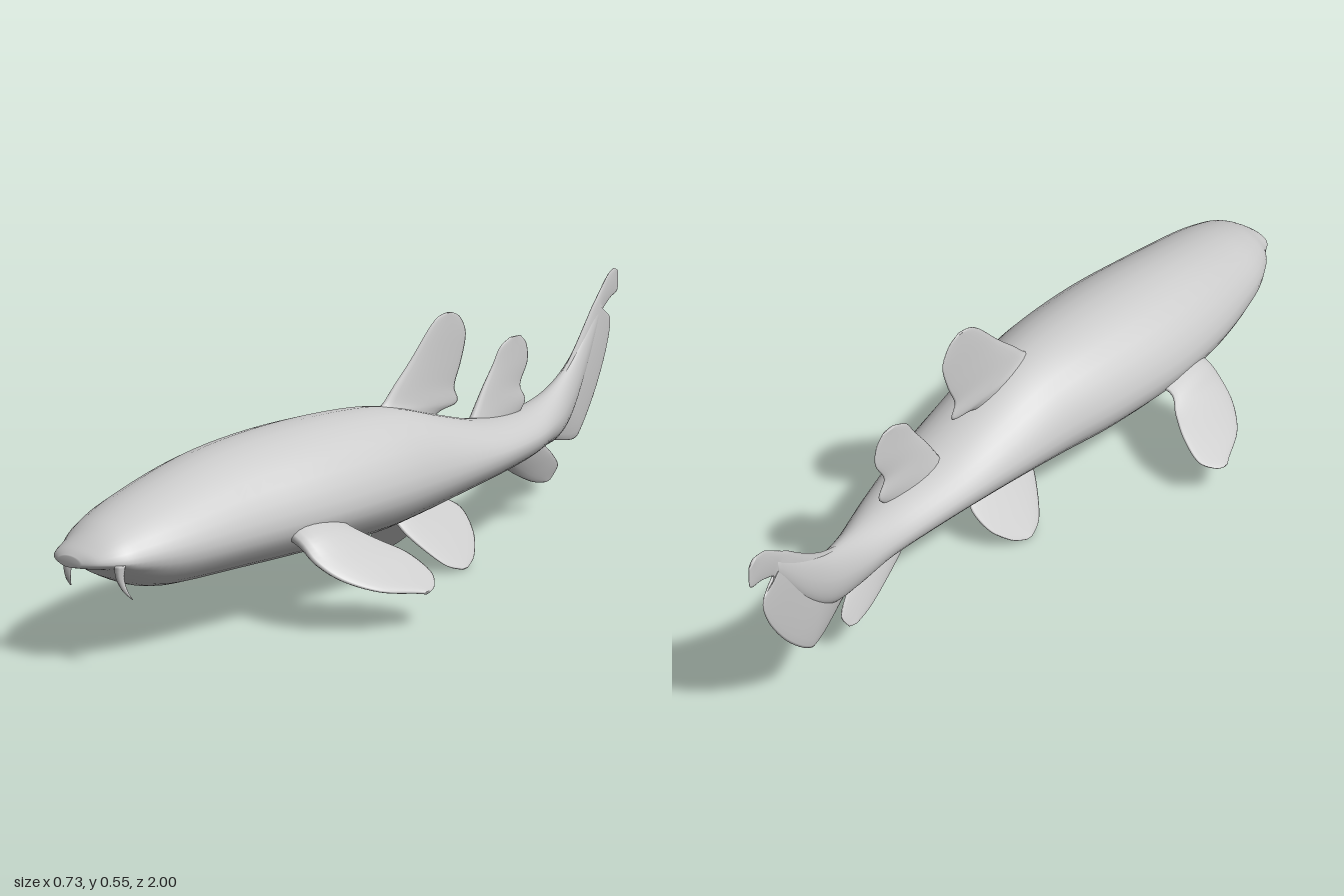
import * as THREE from 'three';

const material = new THREE.MeshStandardMaterial({ color: 0xcccccc, roughness: 0.8 });

// Smoothly resamples rows of numbers (Catmull-Rom on every column)
function resample(rows, steps) {
  const out = [], last = rows.length - 1;
  const at = (i) => rows[Math.min(Math.max(i, 0), last)];
  for (let s = 0; s <= last * steps; s++) {
    const i = Math.min(Math.floor(s / steps), last - 1), t = s / steps - i;
    out.push(at(i).map((_, k) => {
      const [a, b, c, d] = [at(i - 1)[k], at(i)[k], at(i + 1)[k], at(i + 2)[k]];
      return b + 0.5 * t * (c - a + t * (2 * a - 5 * b + 4 * c - d + t * (3 * (b - c) + d - a)));
    }));
  }
  return out;
}

// Skins closed rings of points, capping both ends; winding is made to face outward
function loft(name, rings) {
  const n = rings[0].length, pos = [], idx = [];
  rings.forEach((r) => r.forEach((p) => pos.push(p.x, p.y, p.z)));
  for (let i = 0; i < rings.length - 1; i++) {
    for (let j = 0; j < n; j++) {
      const a = i * n + j, b = i * n + (j + 1) % n;
      idx.push(a, b, b + n, a, b + n, a + n);
    }
  }
  [0, rings.length - 1].forEach((r) => {
    const c = rings[r].reduce((s, p) => s.add(p), new THREE.Vector3()).divideScalar(n);
    const ci = pos.length / 3;
    pos.push(c.x, c.y, c.z);
    for (let j = 0; j < n; j++) {
      const a = r * n + j, b = r * n + (j + 1) % n;
      if (r) idx.push(ci, a, b); else idx.push(ci, b, a);
    }
  });
  const v = (i) => new THREE.Vector3().fromArray(pos, idx[i] * 3);
  let volume = 0;
  for (let i = 0; i < idx.length; i += 3) volume += v(i).dot(v(i + 1).cross(v(i + 2)));
  if (volume < 0) idx.reverse();
  const geo = new THREE.BufferGeometry();
  geo.setAttribute('position', new THREE.Float32BufferAttribute(pos, 3));
  geo.setIndex(idx);
  geo.computeVertexNormals();
  const mesh = new THREE.Mesh(geo, material);
  mesh.name = name;
  return mesh;
}

// Fin from chords [lead x,y,z, trail x,y,z]; each cross-section is a thin lens
function fin(name, chords, rootThick, tipThick) {
  const rows = resample(chords, 5), half = 10;
  const rings = rows.map((r, i) => {
    const lead = new THREE.Vector3(...r.slice(0, 3)), trail = new THREE.Vector3(...r.slice(3));
    const mid = (q) => new THREE.Vector3((q[0] + q[3]) / 2, (q[1] + q[4]) / 2, (q[2] + q[5]) / 2);
    const span = mid(rows[Math.min(i + 1, rows.length - 1)]).sub(mid(rows[Math.max(i - 1, 0)]));
    const side = span.cross(trail.clone().sub(lead)).normalize();
    const f = i / (rows.length - 1);
    const thick = tipThick + (rootThick - tipThick) * (1 - f) ** 2;
    return Array.from({ length: half * 2 }, (_, j) => {
      const a = (j / half) * Math.PI, u = (1 - Math.cos(a)) / 2;
      return lead.clone().lerp(trail, u).addScaledVector(side, Math.sin(a) * (1 - 0.5 * u) * thick);
    });
  });
  return loft(name, rings);
}

// Turns side outline chords [lead z,y, trail z,y] into 3D using x = bend(z, y)
const upright = (chords, bend) =>
  chords.map(([z1, y1, z2, y2]) => [bend(z1, y1), y1, z1, bend(z2, y2), y2, z2]);

const mirrored = (chords, cx, dz) =>
  chords.map(([a, b, c, d, e, f]) => [2 * cx - a, b, c + dz, 2 * cx - d, e, f + dz]);

export function createModel() {
  const model = new THREE.Group();
  model.name = 'fish';

  // Body stations: z, centre x, half width, top y, widest y, bottom y
  const stations = [
    [1.0, 0.005, 0.03, 0.222, 0.21, 0.2],
    [0.985, 0.01, 0.062, 0.237, 0.212, 0.197],
    [0.95, 0.018, 0.088, 0.26, 0.212, 0.19],
    [0.9, 0.01, 0.112, 0.282, 0.212, 0.158],
    [0.8, 0.0, 0.14, 0.312, 0.212, 0.124],
    [0.6, -0.012, 0.167, 0.355, 0.215, 0.114],
    [0.4, -0.007, 0.182, 0.376, 0.22, 0.112],
    [0.2, 0.004, 0.172, 0.38, 0.225, 0.11],
    [0.05, 0.01, 0.15, 0.367, 0.225, 0.122],
    [-0.1, 0.012, 0.131, 0.327, 0.225, 0.14],
    [-0.25, 0.01, 0.11, 0.292, 0.225, 0.156],
    [-0.4, 0.0, 0.082, 0.28, 0.225, 0.168],
    [-0.5, -0.014, 0.062, 0.286, 0.23, 0.178],
    [-0.6, -0.035, 0.043, 0.305, 0.24, 0.18],
    [-0.7, -0.062, 0.027, 0.34, 0.275, 0.21],
    [-0.8, -0.088, 0.015, 0.4, 0.35, 0.3],
    [-0.9, -0.11, 0.005, 0.475, 0.455, 0.435],
  ];
  const sides = 32;
  model.add(loft('body', resample(stations, 5).map(([z, cx, hw, top, mid, bottom]) =>
    Array.from({ length: sides }, (_, j) => {
      const a = (j / sides) * Math.PI * 2, s = Math.sin(a);
      const y = s > 0 ? mid + (top - mid) * s ** 1.12 : mid + (bottom - mid) * -s;
      return new THREE.Vector3(cx + hw * Math.cos(a), y, z);
    }))));

  // Dorsal fins
  model.add(fin('firstDorsalFin', upright([
    [0.13, 0.32, -0.04, 0.28], [0.09, 0.36, -0.12, 0.325], [0.065, 0.378, -0.19, 0.34],
    [0.03, 0.41, -0.18, 0.378], [-0.025, 0.457, -0.203, 0.43], [-0.085, 0.515, -0.22, 0.49],
    [-0.12, 0.54, -0.2, 0.53], [-0.15, 0.546, -0.17, 0.545],
  ], () => 0.01), 0.03, 0.004));
  model.add(fin('secondDorsalFin', upright([
    [-0.23, 0.25, -0.38, 0.24], [-0.265, 0.305, -0.458, 0.295], [-0.3, 0.355, -0.44, 0.34],
    [-0.335, 0.4, -0.467, 0.39], [-0.362, 0.437, -0.463, 0.432], [-0.4, 0.455, -0.44, 0.455],
  ], () => -0.004), 0.026, 0.004));

  // Tail fin, following the sideways sweep of the body
  const sweep = (z) => (z > -0.8 ? -0.088 + (z + 0.8) * 0.27 : -0.088 + (z + 0.8) * 0.21);
  model.add(fin('tailFin', upright([
    [-0.55, 0.27, -0.5, 0.2], [-0.62, 0.305, -0.62, 0.175], [-0.68, 0.335, -0.745, 0.152],
    [-0.72, 0.357, -0.8, 0.173], [-0.77, 0.392, -0.88, 0.255], [-0.82, 0.432, -0.942, 0.35],
    [-0.85, 0.458, -0.957, 0.415], [-0.88, 0.48, -0.91, 0.437], [-0.915, 0.507, -0.955, 0.464],
    [-0.945, 0.527, -1.0, 0.48], [-0.975, 0.535, -1.0, 0.525],
  ], sweep), 0.025, 0.004));

  // Anal fin, leaning slightly to the right
  model.add(fin('analFin', upright([
    [-0.32, 0.2, -0.5, 0.21], [-0.4, 0.15, -0.55, 0.175], [-0.47, 0.115, -0.597, 0.143],
    [-0.54, 0.087, -0.628, 0.112], [-0.59, 0.077, -0.615, 0.082],
  ], (z, y) => -0.045 + (y - 0.075) * 0.35), 0.024, 0.004));

  // Pelvic fins
  const pelvic = upright([
    [0.085, 0.18, -0.09, 0.18], [0.06, 0.13, -0.12, 0.142], [0.048, 0.09, -0.168, 0.108],
    [0.015, 0.046, -0.16, 0.058], [-0.02, 0.014, -0.12, 0.019], [-0.06, 0.001, -0.08, 0.002],
  ], (z, y) => 0.132 - y * 0.85);
  model.add(fin('leftPelvicFin', pelvic, 0.02, 0.004));
  model.add(fin('rightPelvicFin', mirrored(pelvic, 0.011, 0), 0.02, 0.004));

  // Pectoral fins
  const pectoral = [
    [0.1, 0.205, 0.52, 0.1, 0.205, 0.36], [0.175, 0.182, 0.53, 0.185, 0.185, 0.37],
    [0.22, 0.148, 0.53, 0.225, 0.16, 0.335], [0.27, 0.116, 0.507, 0.27, 0.135, 0.3],
    [0.32, 0.09, 0.45, 0.32, 0.1, 0.285], [0.35, 0.076, 0.37, 0.35, 0.08, 0.31],
    [0.359, 0.073, 0.35, 0.359, 0.073, 0.335],
  ];
  model.add(fin('leftPectoralFin', pectoral, 0.036, 0.005));
  model.add(fin('rightPectoralFin', mirrored(pectoral, -0.002, -0.015), 0.036, 0.005));

  // Barbels hanging from the snout
  [[-0.042, -1, 'rightBarbel'], [0.098, 1, 'leftBarbel']].forEach(([x, s, name]) => {
    const rows = resample([
      [x, 0.21, 0.955, 0.011], [x + s * 0.002, 0.185, 0.957, 0.008],
      [x + s * 0.008, 0.16, 0.95, 0.005], [x + s * 0.015, 0.141, 0.937, 0.001],
    ], 4);
    model.add(loft(name, rows.map(([bx, y, z, r]) => Array.from({ length: 8 }, (_, j) => {
      const a = (j / 8) * Math.PI * 2;
      return new THREE.Vector3(bx + r * Math.cos(a), y, z + r * Math.sin(a));
    }))));
  });

  return model;
}
